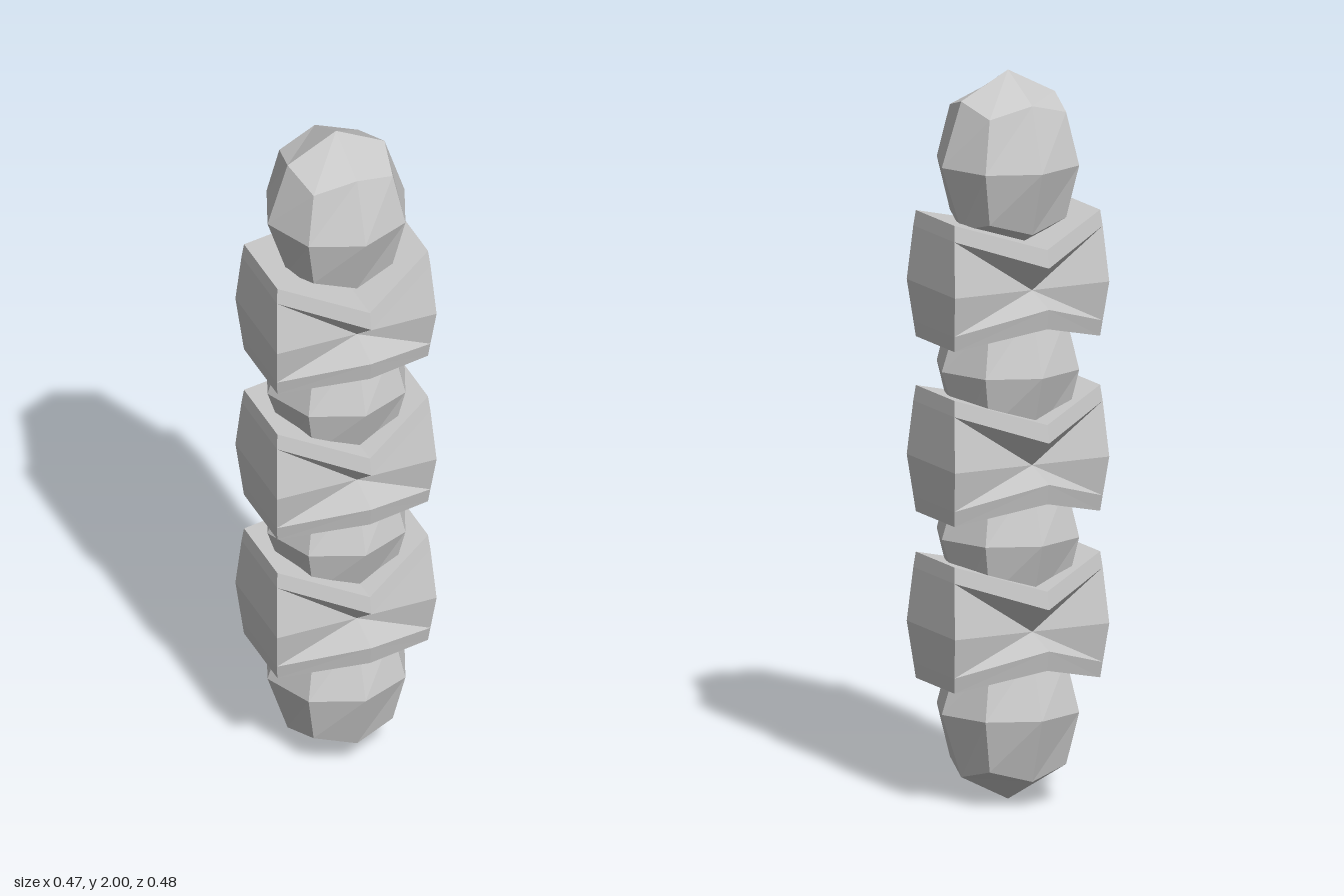
import * as THREE from 'three';

const material = new THREE.MeshStandardMaterial({ color: 0xcccccc, flatShading: true });

// Faceted bead: a subdivided box pushed out to an upright ellipsoid
function beadGeometry() {
  const g = new THREE.BoxGeometry(1, 1, 1, 2, 2, 2).toNonIndexed();
  const p = g.attributes.position;
  const v = new THREE.Vector3();
  for (let i = 0; i < p.count; i++) {
    v.fromBufferAttribute(p, i).normalize();
    p.setXYZ(i, v.x * 0.2, v.y * 0.25, v.z * 0.2);
  }
  g.computeVertexNormals();
  return g;
}

// Collar: six columns of five points, with pointed lips front and back
// and V-shaped troughs above and below
function collarGeometry() {
  const corner = [[0.22, 0.173, 0.112], [0.224, 0.13, 0.119], [0.233, -0.02, 0.14],
    [0.224, -0.13, 0.119], [0.22, -0.173, 0.112]];
  const lip = [[0, 0.107, 0.228], [0, 0.058, 0.238], [0, -0.02, 0.14],
    [0, -0.055, 0.238], [0, -0.11, 0.228]];
  const column = (points, sx, sz) => points.map(([x, y, z]) => [x * sx, y, z * sz]);
  const cols = [column(corner, 1, 1), column(lip, 1, 1), column(corner, -1, 1),
    column(corner, -1, -1), column(lip, 1, -1), column(corner, 1, -1)];

  const out = [];
  const tri = (a, b, c) => out.push(...a, ...b, ...c);
  const quad = (a, b, c, d) => { tri(a, b, c); tri(a, c, d); };

  // Walls; the diagonals always run from the block corners into the notch
  cols.forEach((a, i) => {
    const b = cols[(i + 1) % 6];
    const aIsCorner = i % 3 !== 1;
    for (let r = 0; r < 4; r++) {
      if (aIsCorner === (r < 2)) quad(a[r], b[r], b[r + 1], a[r + 1]);
      else quad(b[r], b[r + 1], a[r + 1], a[r]);
    }
  });

  // Troughs
  for (const [i, j, k, l] of [[0, 5, 4, 1], [2, 1, 4, 3]]) {
    quad(cols[i][0], cols[j][0], cols[k][0], cols[l][0]);
    quad(cols[l][4], cols[k][4], cols[j][4], cols[i][4]);
  }

  const g = new THREE.BufferGeometry();
  g.setAttribute('position', new THREE.Float32BufferAttribute(out, 3));
  g.computeVertexNormals();
  return g;
}

export function createModel() {
  const model = new THREE.Group();
  model.name = 'beadedColumn';

  const stack = (name, geometry, heights) => heights.forEach((y, i) => {
    const mesh = new THREE.Mesh(geometry, material);
    mesh.name = name + (i + 1);
    mesh.position.y = y;
    model.add(mesh);
  });

  stack('bead', beadGeometry(), [0.25, 0.73, 1.19, 1.75]);
  stack('collar', collarGeometry(), [0.505, 0.962, 1.442]);
  return model;
}
